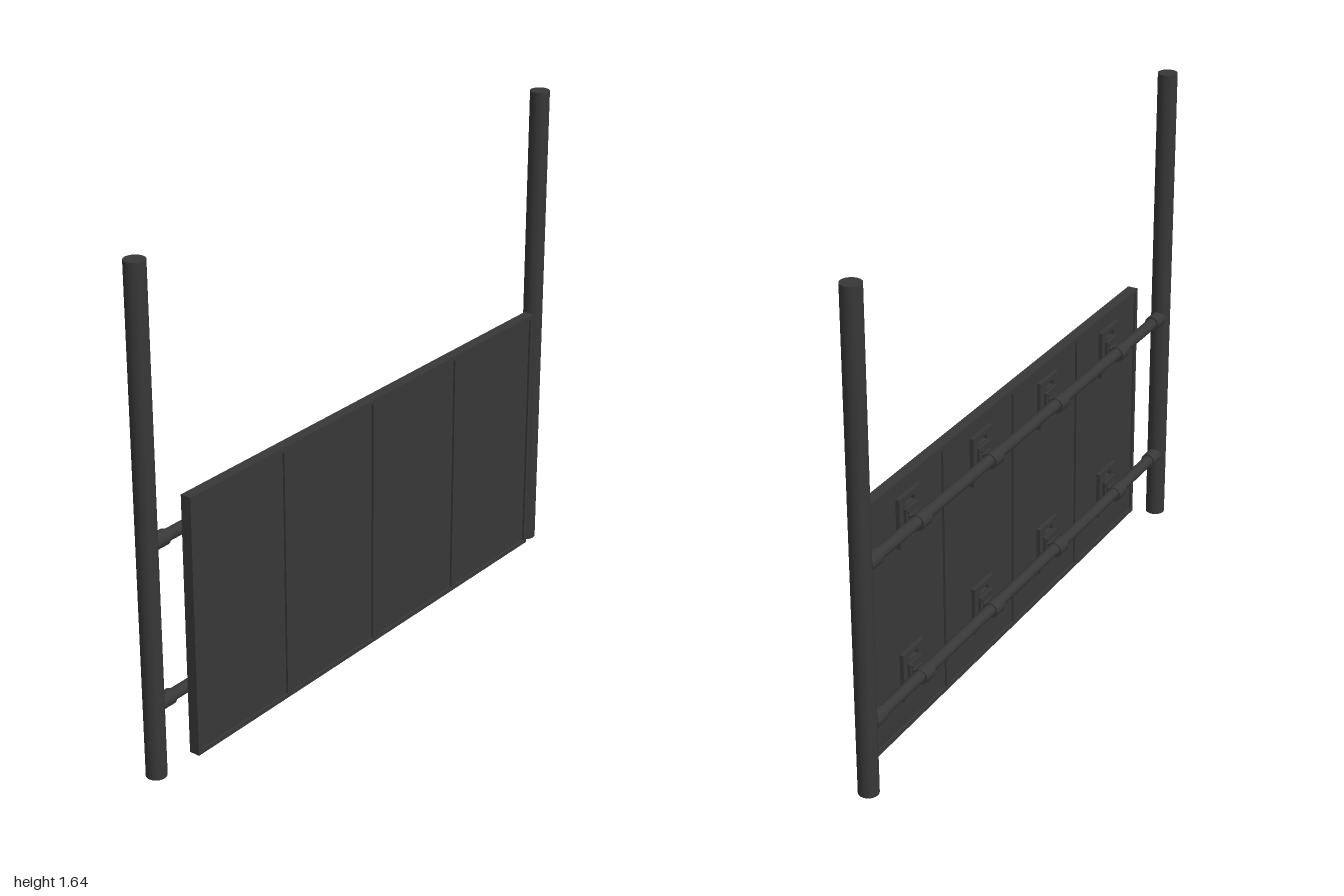
import * as THREE from 'three';

const material = new THREE.MeshStandardMaterial({ color: 0x383838 });
const RAIL_Z = -0.023;

function add(parent, name, geometry, x = 0, y = 0, z = 0) {
  const mesh = new THREE.Mesh(geometry, material);
  mesh.name = name;
  mesh.position.set(x, y, z);
  parent.add(mesh);
  return mesh;
}

function group(parent, name, x = 0, y = 0, z = 0) {
  const g = new THREE.Group();
  g.name = name;
  g.position.set(x, y, z);
  parent.add(g);
  return g;
}

// Cylinder lying along x
const bar = (r, length, sides = 20) =>
  new THREE.CylinderGeometry(r, r, length, sides).rotateZ(Math.PI / 2);

function rectPath(Type, w, h, x = 0, y = 0) {
  return new Type([
    [-w / 2, -h / 2], [w / 2, -h / 2], [w / 2, h / 2], [-w / 2, h / 2],
  ].map(([px, py]) => new THREE.Vector2(px + x, py + y)));
}

// Rectangular plate with rectangular openings [w, h, x, y]
function plate(w, h, depth, holes) {
  const shape = rectPath(THREE.Shape, w, h);
  holes.forEach((o) => shape.holes.push(rectPath(THREE.Path, ...o)));
  return new THREE.ExtrudeGeometry(shape, { depth, bevelEnabled: false });
}

// Framed panel with an inset sheet
function buildPanel(parent, x) {
  const w = 0.43, h = 0.86, border = 0.014;
  const panel = group(parent, 'panel', x, 0.47, 0);
  add(panel, 'panelFrame', plate(w, h, 0.036, [[w - 2 * border, h - 2 * border, 0, 0]]), 0, 0, 0.018);
  add(panel, 'panelSheet', new THREE.BoxGeometry(w - 2 * border, h - 2 * border, 0.022), 0, 0, 0.036);
}

// Slotted mounting plate and a clamp that wraps the rail
function buildBracket(parent, x, y) {
  const bracket = group(parent, 'bracket', x, y, 0);
  add(bracket, 'mountingPlate',
    plate(0.12, 0.165, 0.014, [[0.05, 0.018, 0, 0.057], [0.05, 0.018, 0, -0.057]]), 0, 0, 0.012);
  add(bracket, 'raisedPad', new THREE.BoxGeometry(0.075, 0.085, 0.01), 0, 0, 0.008);
  add(bracket, 'clampNeck', new THREE.BoxGeometry(0.05, 0.036, 0.022), 0, 0, 0);
  add(bracket, 'clampRing', bar(0.026, 0.05), 0, 0, RAIL_Z);
  for (const s of [-1, 1]) {
    add(bracket, 'plateBolt', new THREE.CylinderGeometry(0.007, 0.007, 0.008, 6).rotateX(Math.PI / 2),
      s * 0.025, s * 0.032, 0.001);
  }
}

export function createModel() {
  const model = new THREE.Group();
  model.name = 'panelBarrier';

  // Posts
  for (const s of [-1, 1]) {
    add(model, s > 0 ? 'leftPost' : 'rightPost',
      new THREE.CylinderGeometry(0.0325, 0.0325, 1.637, 24), s * 0.9675, 0.8185, -0.02);
  }

  // Rails with end collars
  const columns = [-0.645, -0.215, 0.215, 0.645];
  for (const y of [0.235, 0.765]) {
    add(model, 'rail', bar(0.019, 1.9), 0, y, RAIL_Z);
    for (const s of [-1, 1]) {
      add(model, 'railCollar', bar(0.025, 0.056), s * 0.918, y, RAIL_Z);
    }
    columns.forEach((x) => buildBracket(model, x, y - 0.004));
  }

  // Panels
  columns.forEach((x) => buildPanel(model, x));
  return model;
}
